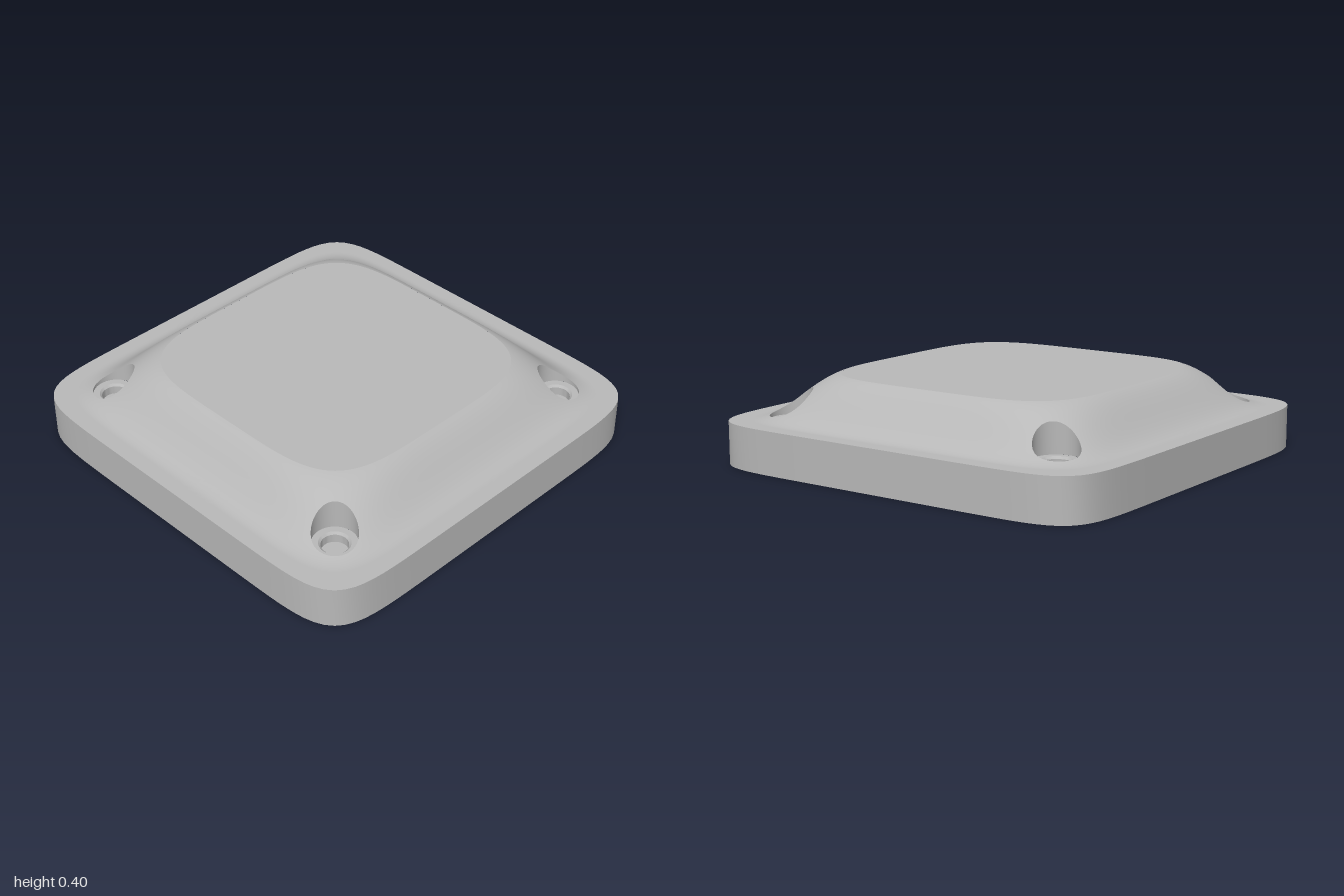
import * as THREE from 'three';
import { toCreasedNormals } from 'three/addons/utils/BufferGeometryUtils.js';

const BASE = 0.2, TOP = 0.4, A_TOP = 0.66, POCKET = 0.725, POCKET_R = 0.1, ARC = 48;

// Outlines are superellipses whose corners tighten as the half-width a grows.
const power = (a) => Math.max(3, 4.5 + 4.5 * (a - A_TOP) / (1 - A_TOP));

function outline(a, t) {
  const n = power(a), c = Math.abs(Math.cos(t)), s = Math.abs(Math.sin(t));
  const r = a / Math.pow(c ** n + s ** n, 1 / n);
  return new THREE.Vector2(r * Math.cos(t), r * Math.sin(t)); // x, z
}

// Half-width of the outline that passes through (x, z)
function halfWidth(x, z) {
  let lo = 0.4, hi = 1.2;
  for (let k = 0; k < 30; k++) {
    const a = (lo + hi) / 2, n = power(a);
    if ((Math.abs(x) / a) ** n + (Math.abs(z) / a) ** n > 1) lo = a; else hi = a;
  }
  return (lo + hi) / 2;
}

// S-curved flank running out into the flat rim
function height(x, z) {
  const t = THREE.MathUtils.clamp((halfWidth(x, z) - 0.62) / 0.31, 0, 1);
  return BASE + 0.2085 * (0.5 + 0.5 * Math.cos(Math.PI * t));
}

// Grid surface from point(i, j)
function grid(cols, rows, point) {
  const pos = [], idx = [];
  for (let i = 0; i <= cols; i++) for (let j = 0; j <= rows; j++) pos.push(...point(i, j));
  for (let i = 0; i < cols; i++) for (let j = 0; j < rows; j++) {
    const a = i * (rows + 1) + j, b = a + rows + 1;
    idx.push(a, a + 1, b + 1, a, b + 1, b);
  }
  const g = new THREE.BufferGeometry();
  g.setAttribute('position', new THREE.Float32BufferAttribute(pos, 3));
  g.setIndex(idx);
  g.computeVertexNormals();
  return g;
}

// Border of one quarter of the flank, counterclockwise seen from above
function quarterBorder() {
  const pts = [], line = 16;
  for (let i = 0; i < ARC; i++) pts.push(outline(1, Math.PI / 2 * (1 - i / ARC)));
  for (let i = 0; i < line; i++) pts.push(new THREE.Vector2(1 + (A_TOP - 1) * i / line, 0));
  for (let i = 0; i < ARC; i++) pts.push(outline(A_TOP, Math.PI / 2 * i / ARC));
  for (let i = 0; i <= line; i++) pts.push(new THREE.Vector2(0, A_TOP + (1 - A_TOP) * i / line));
  return pts;
}

export function createModel() {
  const model = new THREE.Group();
  model.name = 'housing';
  const grey = new THREE.MeshStandardMaterial({ color: 0xb8b8b8 });
  grey.name = 'grey';
  const add = (parent, name, geometry) => {
    const mesh = new THREE.Mesh(geometry, grey);
    mesh.name = name;
    parent.add(mesh);
    return mesh;
  };

  // Flank fans out from the pocket's circle to the quarter's border
  const border = quarterBorder(), n = border.length - 1, centre = new THREE.Vector2(POCKET, POCKET);
  const circle = border.map((p) => p.clone().sub(centre).setLength(POCKET_R).add(centre));
  const flank = grid(n, 24, (i, j) => {
    const p = circle[i].clone().lerp(border[i], j / 24);
    return [p.x, height(p.x, p.y), p.y];
  });
  // Normals from the slope, so that the quarters join smoothly
  const pos = flank.attributes.position, e = 0.002;
  for (let i = 0; i < pos.count; i++) {
    const x = pos.getX(i), z = pos.getZ(i);
    const v = new THREE.Vector3(height(x - e, z) - height(x + e, z), 2 * e, height(x, z - e) - height(x, z + e)).normalize();
    flank.attributes.normal.setXYZ(i, v.x, v.y, v.z);
  }

  // Pocket wall rises from the floor to the flank
  const wall = grid(n, 1, (i, j) => {
    const p = circle[i];
    return [p.x, j ? height(p.x, p.y) : BASE, p.y];
  });

  // Pocket floor with a chamfered screw recess
  const profile = [[0.1, 0.2], [0.07, 0.2], [0.06, 0.19], [0.06, 0.15], [0, 0.15]];
  const floor = toCreasedNormals(
    new THREE.LatheGeometry(profile.map(([r, y]) => new THREE.Vector2(r, y)), 48), 0.5);

  for (let k = 0; k < 4; k++) {
    const quarter = new THREE.Group();
    quarter.name = 'corner' + (k + 1);
    quarter.rotation.y = k * Math.PI / 2;
    add(quarter, 'flank', flank);
    add(quarter, 'pocketWall', wall);
    add(quarter, 'screwRecess', floor).position.set(POCKET, 0, POCKET);
    model.add(quarter);
  }

  // Upright side of the base
  add(model, 'baseSide', grid(4 * ARC, 1, (i, j) => {
    const p = outline(1, -Math.PI / 2 * i / ARC);
    return [p.x, j ? 0 : BASE, p.y];
  }));

  // Flat top and underside
  const face = (a) => new THREE.ShapeGeometry(new THREE.Shape(
    Array.from({ length: 4 * ARC }, (_, i) => outline(a, Math.PI / 2 * i / ARC))));
  add(model, 'topFace', face(A_TOP).rotateX(-Math.PI / 2).translate(0, TOP, 0));
  add(model, 'underside', face(1).rotateX(Math.PI / 2));

  return model;
}
